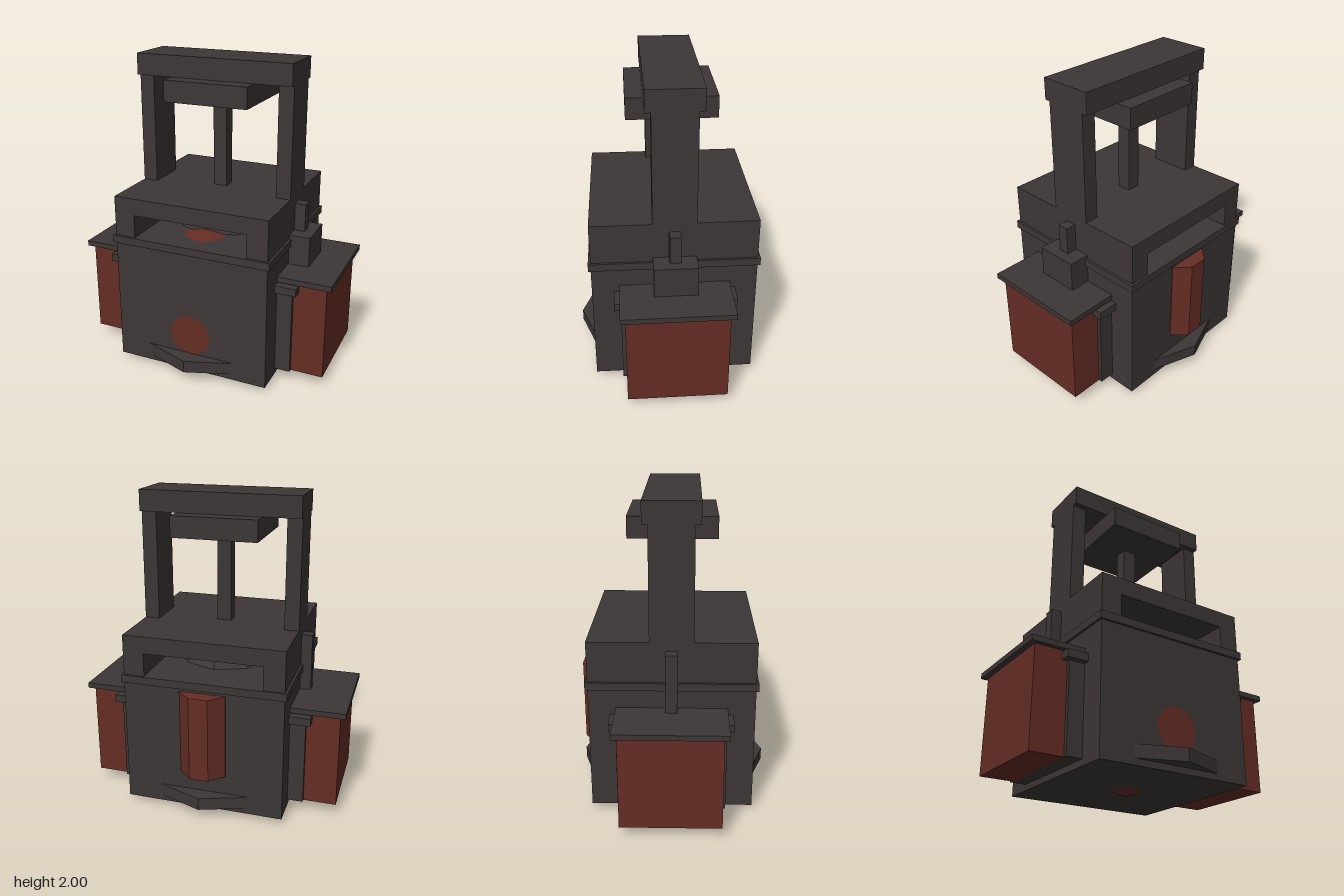
import * as THREE from 'three';

export function createModel() {
  const model = new THREE.Group();
  model.name = 'furnace';
  const iron = new THREE.MeshStandardMaterial({ color: 0x3d3636 });
  iron.name = 'dark iron';
  const rust = new THREE.MeshStandardMaterial({ color: 0x652d24 });
  rust.name = 'rust red';
  iron.flatShading = rust.flatShading = true;

  function add(name, geometry, material, x = 0, y = 0, z = 0) {
    const mesh = new THREE.Mesh(geometry, material);
    mesh.name = name;
    mesh.position.set(x, y, z);
    model.add(mesh);
    return mesh;
  }
  // Box given by its lower and upper limits on each axis
  function box(name, material, [x0, x1], [y0, y1], [z0, z1]) {
    return add(name, new THREE.BoxGeometry(x1 - x0, y1 - y0, z1 - z0), material,
      (x0 + x1) / 2, (y0 + y1) / 2, (z0 + z1) / 2);
  }
  // Box mirrored on both sides; x limits are for the left side
  function pair(name, material, [x0, x1], y, z) {
    box(name + 'Left', material, [x0, x1], y, z);
    box(name + 'Right', material, [-x1, -x0], y, z);
  }

  // Main body and rim
  box('body', iron, [-0.515, 0.515], [0.035, 0.85], [-0.515, 0.515]);
  box('rim', iron, [-0.53, 0.53], [0.85, 0.9], [-0.53, 0.53]);

  // Head with an opening running front to back
  pair('headWall', iron, [0.38, 0.515], [0.9, 1.05], [-0.515, 0.515]);
  box('headRoof', iron, [-0.515, 0.515], [1.05, 1.16], [-0.515, 0.515]);

  // Faceted dome and ember inside the opening
  const domeProfile = [[0.285, 0.9], [0.245, 0.955], [0, 1.035]].map(p => new THREE.Vector2(...p));
  add('innerDome', new THREE.LatheGeometry(domeProfile, 8), iron);
  add('ember', new THREE.ConeGeometry(0.14, 0.03, 8), rust, 0, 0.914, 0.27);

  // Press frame, ram and central rod
  pair('framePost', iron, [0.42, 0.515], [1.16, 1.865], [-0.135, 0.135]);
  box('frameBeam', iron, [-0.515, 0.515], [1.865, 2], [-0.17, 0.17]);
  box('ram', iron, [-0.275, 0.275], [1.73, 1.865], [-0.275, 0.275]);
  box('rod', iron, [-0.045, 0.045], [1, 1.73], [-0.045, 0.045]);

  // Side tanks with brackets, collars and lids
  pair('bracket', iron, [0.51, 0.615], [0.075, 0.64], [-0.34, 0.34]);
  pair('collar', iron, [0.51, 0.65], [0.635, 0.685], [-0.38, 0.38]);
  pair('tank', rust, [0.6, 0.825], [0.075, 0.695], [-0.315, 0.315]);
  pair('tankLid', iron, [0.51, 0.86], [0.695, 0.73], [-0.345, 0.345]);
  pair('sidePin', iron, [0.51, 0.585], [0.73, 1.105], [-0.035, 0.035]);
  box('valveBlock', iron, [0.31, 0.65], [0.73, 0.925], [-0.135, 0.135]);

  // Pointed ledges at front and back
  const ledge = new THREE.Shape([[-0.31, 0], [0.31, 0], [0, 0.11]].map(p => new THREE.Vector2(...p)));
  const ledgeGeometry = new THREE.ExtrudeGeometry(ledge, { depth: 0.08, bevelEnabled: false });
  ledgeGeometry.rotateX(Math.PI / 2);
  add('frontLedge', ledgeGeometry, iron, 0, 0.155, 0.51);
  add('backLedge', ledgeGeometry, iron, 0, 0.155, -0.51).rotation.y = Math.PI;

  // Round front port, octagonal back pipe and bottom tip
  add('frontPort', new THREE.CircleGeometry(0.135, 32), rust, 0, 0.29, 0.518);
  const pipe = add('backPipe', new THREE.CylinderGeometry(0.16, 0.16, 0.55, 8), rust, 0, 0.555, -0.457);
  pipe.rotation.y = Math.PI / 8;
  add('bottomTip', new THREE.ConeGeometry(0.1, 0.035, 8), rust, 0, 0.0175, 0).rotation.x = Math.PI;

  return model;
}
